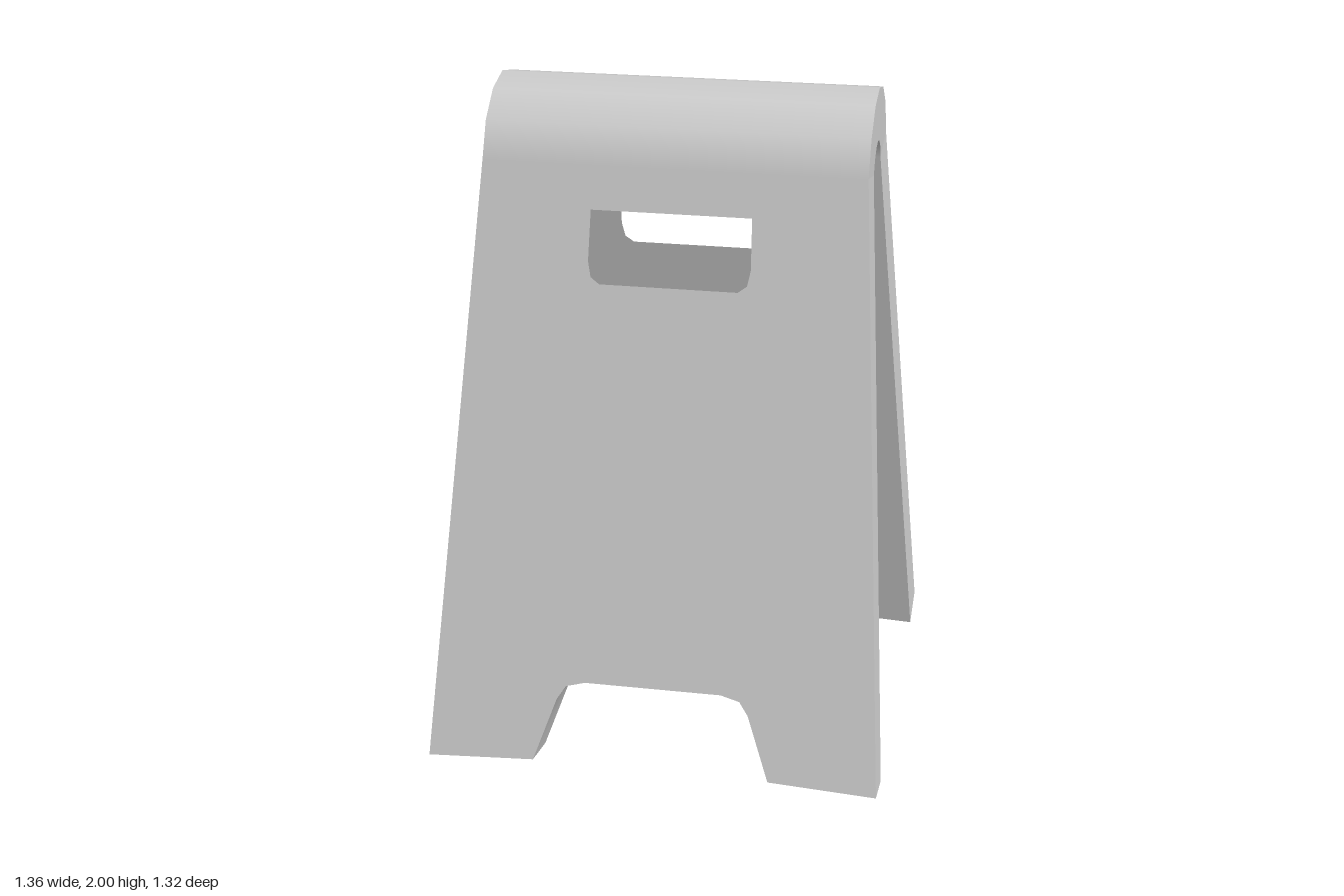
import * as THREE from 'three';
import { toCreasedNormals } from 'three/addons/utils/BufferGeometryUtils.js';

const TILT = 0.2287;               // lean of each panel from vertical
const OUTER = 0.257, INNER = 0.098; // bend radii
const CENTRE = 1.743;              // height of the bend's axis
const THICK = OUTER - INNER;
const TOP = 0.56;                  // half width at the bend
const SEAM_Y = CENTRE + OUTER * Math.sin(TILT);
const SEAM_Z = OUTER * Math.cos(TILT);

// Mirrors a right-hand outline; heights are those of the panel's outer face
function mirrored(half) {
  const pts = half.map(([x, y]) => new THREE.Vector2(x, (y - SEAM_Y) / Math.cos(TILT)));
  const left = pts.map((p) => new THREE.Vector2(-p.x, p.y)).reverse();
  return [...pts, ...left];
}

// Tapered board with a foot notch and a hand slot
function panelGeometry() {
  const shape = new THREE.Shape(mirrored([
    [TOP, SEAM_Y], [0.68, 0.037], [0.357, 0.053],
    [0.289, 0.245], [0.262, 0.285], [0.205, 0.3],
  ]));
  shape.holes.push(new THREE.Path(mirrored([
    [0.235, 1.675], [0.238, 1.53], [0.229, 1.485], [0.203, 1.466],
  ])));
  const geo = new THREE.ExtrudeGeometry(shape, { depth: THICK, bevelEnabled: false });
  geo.translate(0, 0, -THICK);
  return toCreasedNormals(geo, 0.8);
}

// Half-round bend, faceted in outline but smoothly shaded
function bendGeometry() {
  const steps = 6, outer = [], inner = [];
  for (let i = 0; i <= steps; i++) {
    const a = TILT + (i / steps) * (Math.PI - 2 * TILT);
    const dir = new THREE.Vector2(Math.cos(a), Math.sin(a));
    outer.push(dir.clone().multiplyScalar(OUTER));
    inner.unshift(dir.clone().multiplyScalar(INNER));
  }
  const shape = new THREE.Shape([...outer, ...inner]);
  const geo = new THREE.ExtrudeGeometry(shape, { depth: 2 * TOP, bevelEnabled: false });
  const pos = geo.attributes.position, nor = geo.attributes.normal;
  for (let i = 0; i < pos.count; i++) {
    if (Math.abs(nor.getZ(i)) > 0.5) continue; // flat ends
    const x = pos.getX(i), y = pos.getY(i), r = Math.hypot(x, y);
    const s = r > (OUTER + INNER) / 2 ? 1 / r : -1 / r;
    nor.setXYZ(i, x * s, y * s, 0);
  }
  geo.translate(0, 0, -TOP);
  geo.rotateY(Math.PI / 2);
  return geo;
}

export function createModel() {
  const model = new THREE.Group();
  model.name = 'foldedFloorSign';
  const material = new THREE.MeshStandardMaterial({ color: 0xcccccc });

  // Front and back panels
  const geo = panelGeometry();
  ['frontPanel', 'backPanel'].forEach((name, i) => {
    const side = new THREE.Group();
    side.name = name;
    side.rotation.y = i * Math.PI;
    const board = new THREE.Mesh(geo, material);
    board.name = name + 'Board';
    board.position.set(0, SEAM_Y, SEAM_Z);
    board.rotation.x = -TILT;
    side.add(board);
    model.add(side);
  });

  // Rounded top joining the panels
  const bend = new THREE.Mesh(bendGeometry(), material);
  bend.name = 'topBend';
  bend.position.y = CENTRE;
  model.add(bend);

  return model;
}
